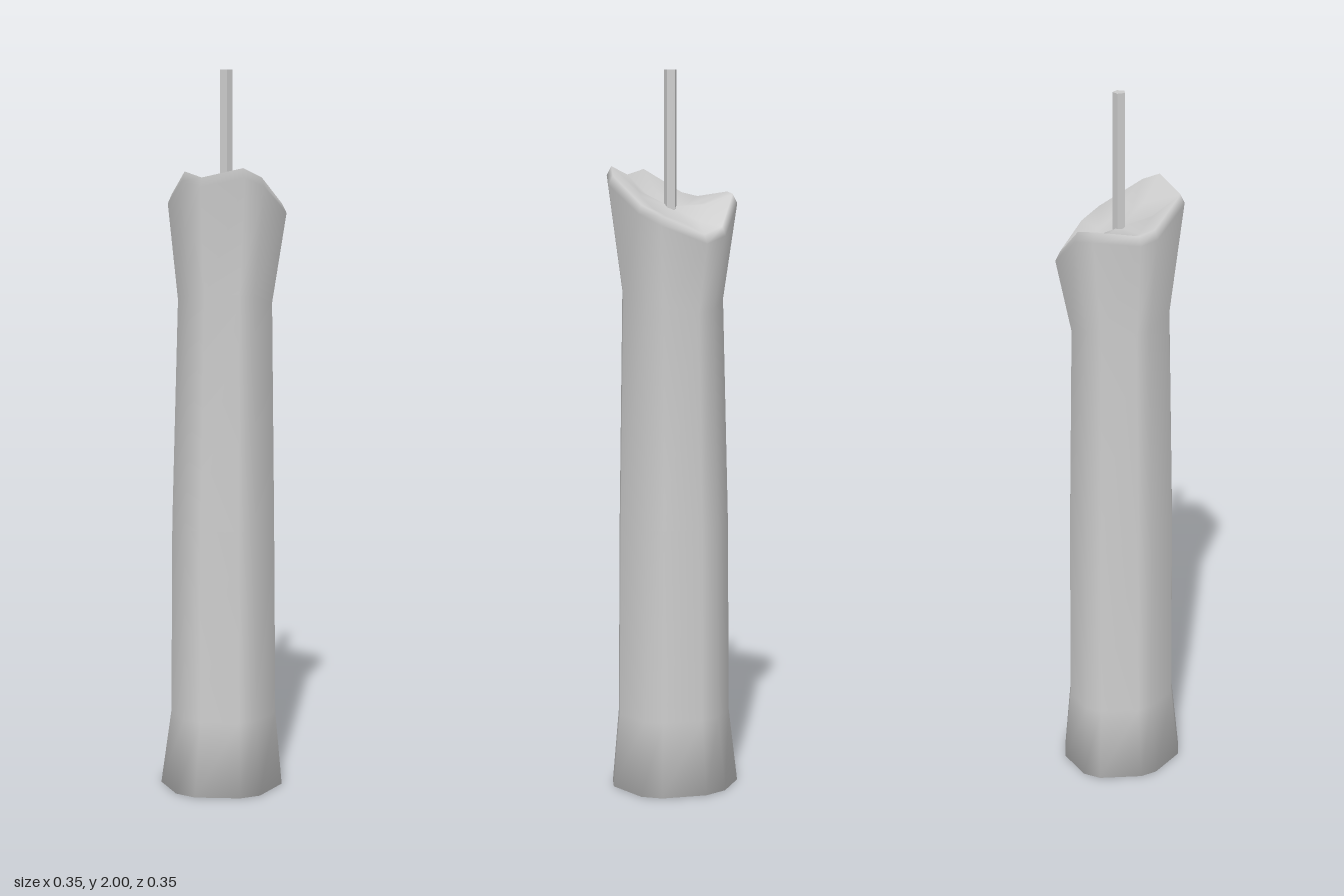
import * as THREE from 'three';

// Rim corners [x, z, y]: an uneven, bevelled hexagon with a melted, sloping edge
const RIM = [
  [0.015, -0.178, 1.555], [0.077, -0.155, 1.535], [0.16, -0.06, 1.585], [0.175, 0, 1.615],
  [0.135, 0.12, 1.69], [0.088, 0.155, 1.715], [-0.03, 0.172, 1.69], [-0.085, 0.148, 1.705],
  [-0.145, 0.05, 1.64], [-0.152, 0, 1.63], [-0.12, -0.12, 1.645], [-0.085, -0.158, 1.64],
];

function loft(rings, bottom, top) {
  const n = rings[0].length;
  const pos = [...rings.flat(), bottom, top].flat();
  const index = [];
  const b = rings.length * n, t = b + 1, last = b - n;
  for (let i = 0; i < n; i++) {
    const j = (i + 1) % n;
    for (let r = 0; r < rings.length - 1; r++) {
      const lo = r * n, hi = lo + n;
      index.push(lo + i, hi + i, lo + j, hi + i, hi + j, lo + j);
    }
    index.push(b, i, j, t, last + j, last + i);
  }
  const g = new THREE.BufferGeometry();
  g.setAttribute('position', new THREE.Float32BufferAttribute(pos, 3));
  g.setIndex(index);
  g.computeVertexNormals();
  return g;
}

export function createModel() {
  const group = new THREE.Group();

  // Each ring scales and shifts the rim outline; y may follow the rim height
  const ring = (sx, sz, dx, y) => RIM.map(([x, z, h]) => [x * sx + dx, y(h), z * sz]);
  const rings = [
    ring(1.06, 0.97, -0.017, () => 0),                         // flared foot
    ring(0.91, 0.86, -0.01, () => 0.21),
    ring(0.88, 0.84, -0.01, () => 0.75),
    ring(0.8, 0.77, -0.004, (h) => 1.38 + 0.3 * (h - 1.65)),   // waist
    ring(1, 1, 0, (h) => h),                                   // flared rim
    ring(0.93, 0.93, 0, (h) => h + 0.025),                     // rounded lip
    ring(0.5, 0.5, 0, (h) => 1.63 + 0.5 * (h - 1.63)),         // melted hollow
  ];
  const wax = new THREE.Mesh(
    loft(rings, [0, 0, 0], [0.008, 1.63, 0]),
    new THREE.MeshStandardMaterial({ color: 0xcccccc }),
  );
  wax.name = 'waxBody';
  group.add(wax);

  // Five-sided wick
  const wick = new THREE.Mesh(
    new THREE.CylinderGeometry(0.018, 0.018, 0.4, 5, 1, false, Math.PI / 2),
    new THREE.MeshStandardMaterial({ color: 0xcccccc, flatShading: true }),
  );
  wick.position.set(0.007, 1.8, 0);
  wick.name = 'wick';
  group.add(wick);

  return group;
}
